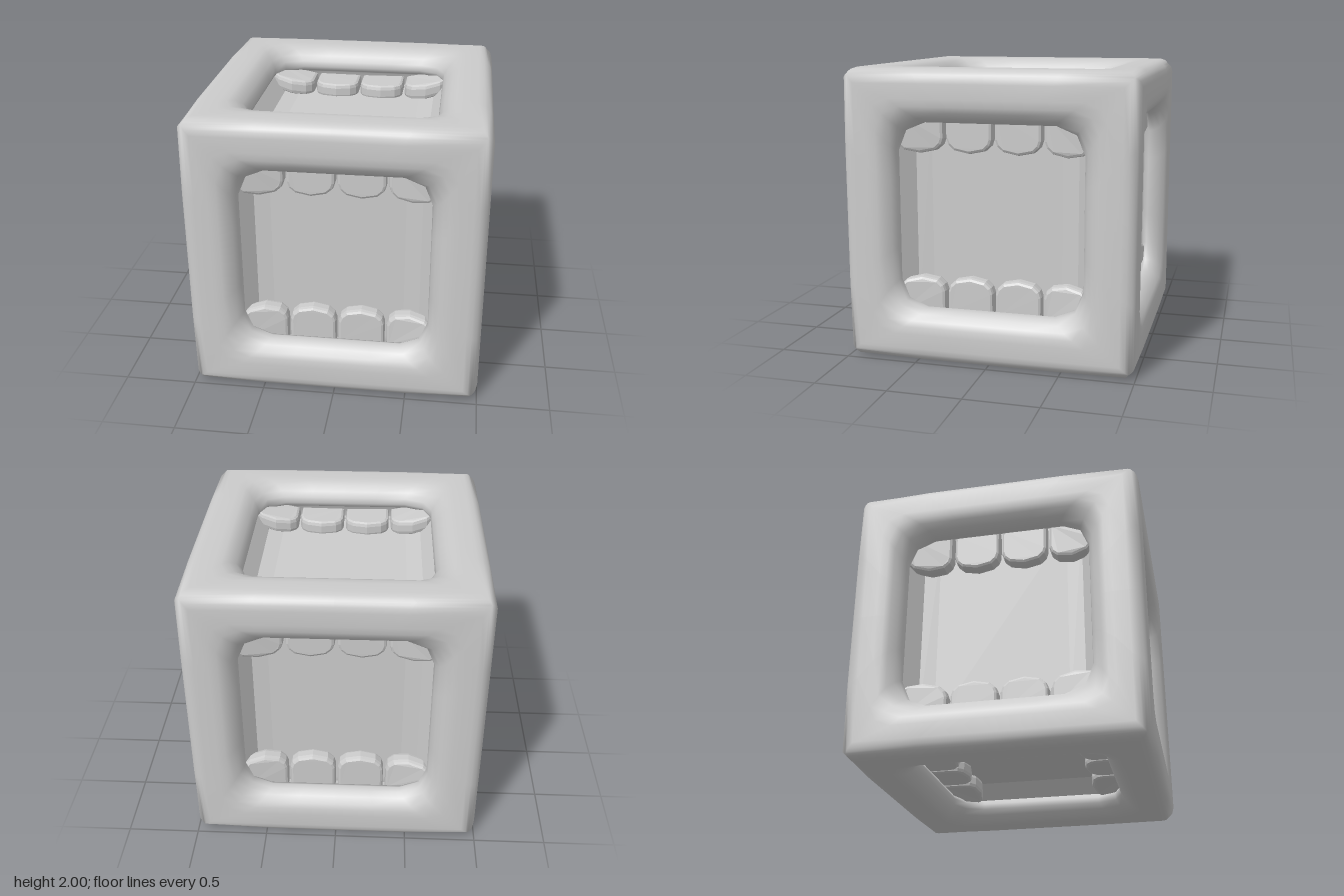
import * as THREE from 'three';
import { mergeGeometries, mergeVertices } from 'three/addons/utils/BufferGeometryUtils.js';

const smooth = new THREE.MeshStandardMaterial({ color: 0xcccccc, side: THREE.DoubleSide });
const faceted = new THREE.MeshStandardMaterial({ color: 0xcccccc, flatShading: true, side: THREE.DoubleSide });

// Six face orientations: front, back, two sides, top, bottom
const H = Math.PI / 2;
const FACES = {
  front: [0, 0], back: [0, Math.PI], left: [0, H], right: [0, -H], top: [-H, 0], bottom: [H, 0],
};

// Rounded square outline of half size h and corner radius r, counter-clockwise
function outline(h, r) {
  const points = [], arc = 2, side = 4, c = h - r;
  for (let k = 0; k < 4; k++) {
    const cos = Math.round(Math.cos(k * H)), sin = Math.round(Math.sin(k * H));
    const add = (x, y) => points.push([x * cos - y * sin, x * sin + y * cos]);
    for (let i = 0; i <= arc; i++) {
      const a = H * i / arc;
      add(c + r * Math.cos(a), c + r * Math.sin(a));
    }
    for (let i = 1; i < side; i++) add(c - 2 * c * i / side, h);
  }
  return points;
}

// Round the cube edges and corners with radius 0.1
function roundEdges(v) {
  const core = v.clone().clampScalar(-0.9, 0.9);
  const off = v.clone().sub(core);
  return off.lengthSq() > 1e-9 ? core.add(off.setLength(0.1)) : v;
}

// One side of the shell: from the cube edge over the lip and into the recess
function framePatch() {
  const rings = [ // half size, corner radius, depth
    [1, 0, 0], [0.97, 0, 0], [0.94, 0, 0], [0.9, 0, 0], [0.8, 0.14, 0], [0.75, 0.16, 0.006],
    [0.71, 0.18, 0.022], [0.67, 0.19, 0.06], [0.645, 0.19, 0.1], [0.637, 0.19, 0.14],
    [0.65, 0.19, 0.17], [0.72, 0.19, 0.2], [0.72, 0.19, 0.32],
  ];
  const position = [], index = [];
  let n = 0;
  rings.forEach(([h, r, depth], j) => {
    const points = outline(h, r);
    n = points.length;
    points.forEach(([x, y], i) => {
      let v = new THREE.Vector3(x, y, 1 - depth);
      if (h >= 0.9) v = roundEdges(v);
      position.push(v.x, v.y, v.z);
      if (j === 0) return;
      const a = (j - 1) * n + i, b = (j - 1) * n + (i + 1) % n;
      index.push(a, b, b + n, a, b + n, a + n);
    });
  });
  const g = new THREE.BufferGeometry();
  g.setAttribute('position', new THREE.Float32BufferAttribute(position, 3));
  g.setIndex(index);
  return g;
}

// Recess floor, bent forward at its left and right ends
function floorGeometry() {
  const section = [[-0.69, 0.14], [-0.57, 0.285], [-0.46, 0.3], [0.46, 0.3], [0.57, 0.285], [0.69, 0.14]];
  const g = new THREE.PlaneGeometry(1, 1.42, section.length - 1, 1);
  const p = g.attributes.position;
  for (let i = 0; i < p.count; i++) {
    const [x, depth] = section[i % section.length];
    p.setXYZ(i, x, p.getY(i), 1 - depth);
  }
  return g;
}

// Tooth pointing up, rooted behind the lip; the row curves forward at its ends
function toothGeometry(centre, tip) {
  const b = 0.02, w = 0.162 - b, t = -tip - b;
  const s = new THREE.Shape();
  s.moveTo(-w, -0.69);
  s.lineTo(w, -0.69);
  s.lineTo(w, t - 0.085);
  s.lineTo(w - 0.012, t - 0.05);
  s.lineTo(w - 0.045, t - 0.02);
  s.lineTo(0, t);
  s.lineTo(-w + 0.045, t - 0.02);
  s.lineTo(-w + 0.012, t - 0.05);
  s.lineTo(-w, t - 0.085);
  const g = new THREE.ExtrudeGeometry(s, {
    depth: 0.05, bevelEnabled: true, bevelSize: b, bevelThickness: 0.03, bevelSegments: 2,
  });
  g.translate(centre, 0, 0.71);
  const p = g.attributes.position;
  for (let i = 0; i < p.count; i++) {
    p.setZ(i, p.getZ(i) + 0.06 * (p.getX(i) / 0.64) ** 4);
  }
  return g;
}

export function createModel() {
  const model = new THREE.Group();
  model.name = 'toothedCube';

  // Shell, joined across all six sides so its edges shade smoothly
  const patches = Object.values(FACES).map(([rx, ry]) => framePatch().rotateX(rx).rotateY(ry));
  const shell = mergeVertices(mergeGeometries(patches), 1e-4);
  shell.computeVertexNormals();
  const frame = new THREE.Mesh(shell, smooth);
  frame.name = 'frame';
  model.add(frame);

  // A recess with two rows of four teeth on every side
  const floor = floorGeometry();
  const centres = [-0.51, -0.17, 0.17, 0.51];
  const lower = centres.map((x) => toothGeometry(x, 0.44));
  const upper = centres.map((x) => toothGeometry(x, 0.42).scale(1, -1, 1));
  // Restore the winding after mirroring
  upper.forEach((g) => {
    const p = g.attributes.position;
    const v = new THREE.Vector3(), u = new THREE.Vector3();
    for (let i = 0; i < p.count; i += 3) {
      v.fromBufferAttribute(p, i + 1);
      u.fromBufferAttribute(p, i + 2);
      p.setXYZ(i + 1, u.x, u.y, u.z);
      p.setXYZ(i + 2, v.x, v.y, v.z);
    }
    g.computeVertexNormals();
  });
  for (const [name, [rx, ry]] of Object.entries(FACES)) {
    const mouth = new THREE.Group();
    mouth.name = `${name}Mouth`;
    mouth.rotation.set(rx, ry, 0);
    const add = (geometry, part) => {
      const mesh = new THREE.Mesh(geometry, faceted);
      mesh.name = part;
      mouth.add(mesh);
    };
    add(floor, 'recessFloor');
    lower.forEach((g) => add(g, 'lowerTooth'));
    upper.forEach((g) => add(g, 'upperTooth'));
    model.add(mouth);
  }

  model.children.forEach((part) => { part.position.y = 1; });
  return model;
}
